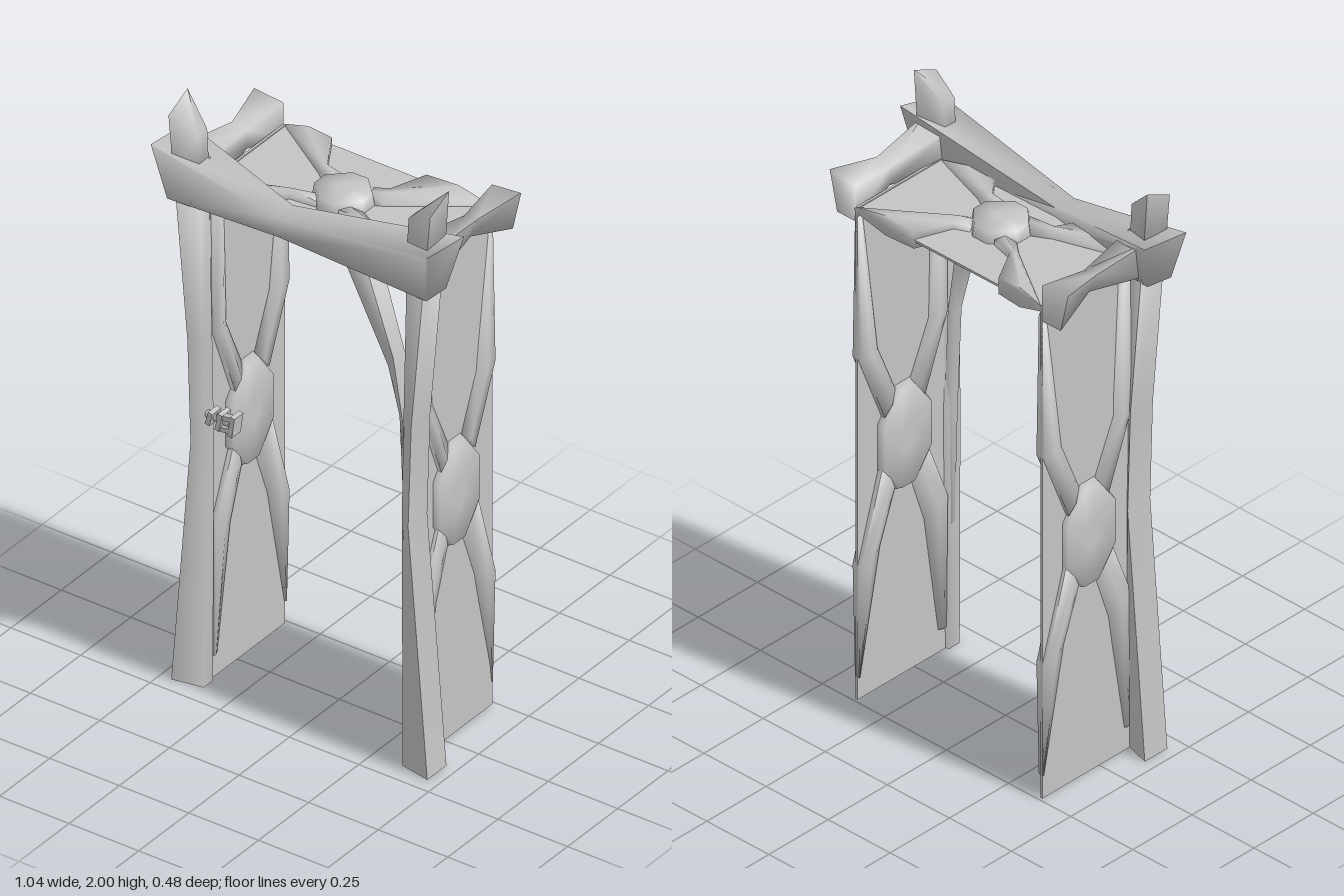
import * as THREE from 'three';
import { toCreasedNormals } from 'three/addons/utils/BufferGeometryUtils.js';

const stone = new THREE.MeshStandardMaterial({ color: 0xc4c4c4 });
stone.name = 'paleGrey';

// Skin a row of rings (each a list of [x, y, z]); the first end can stay open.
function loft(rings, closeStart = true) {
  const n = rings[0].length;
  const pts = rings.flat();
  const idx = [];
  for (let r = 0; r < rings.length - 1; r++) {
    for (let i = 0; i < n; i++) {
      const a = r * n + i, b = r * n + (i + 1) % n;
      idx.push(a, b, b + n, a, b + n, a + n);
    }
  }
  const last = (rings.length - 1) * n;
  for (let i = 1; i < n - 1; i++) {
    if (closeStart) idx.push(0, i + 1, i);
    idx.push(last, last + i, last + i + 1);
  }
  // Turn the faces outward if the rings run the other way round.
  const v = pts.map(p => new THREE.Vector3(...p));
  const centre = v.reduce((sum, p) => sum.add(p), new THREE.Vector3()).divideScalar(v.length);
  v.forEach(p => p.sub(centre));
  let volume = 0;
  for (let i = 0; i < idx.length; i += 3) {
    volume += v[idx[i]].dot(v[idx[i + 1]].clone().cross(v[idx[i + 2]]));
  }
  if (volume < 0) idx.reverse();
  const g = new THREE.BufferGeometry();
  g.setAttribute('position', new THREE.Float32BufferAttribute(pts.flat(), 3));
  g.setIndex(idx);
  return toCreasedNormals(g, 1.7);
}

function add(parent, name, geometry) {
  const mesh = new THREE.Mesh(geometry, stone);
  mesh.name = name;
  parent.add(mesh);
  return mesh;
}

// Strut with one thin edge and one thick edge; stations are [thinU, thinV, thickU, thickV].
function strut(stations, thickness, map) {
  return loft(stations.map(([au, av, bu, bv], i) => {
    const t = thickness[i], mu = (au + bu) / 2, mv = (av + bv) / 2;
    return [map(au, av, 0.3 * t), map(mu, mv, t), map(bu, bv, 0.8 * t),
      map(bu, bv, -0.8 * t), map(mu, mv, -t), map(au, av, -0.3 * t)];
  }));
}

// Eight-sided boss: a thick plate with softly shaded faces.
function boss(cu, cv, hu, hv, tipU, shoulderV, t, map) {
  const outline = [[tipU, hv], [hu, shoulderV], [hu, -shoulderV], [tipU, -hv],
    [-tipU, -hv], [-hu, -shoulderV], [-hu, shoulderV], [-tipU, hv]];
  const levels = [[-t, 0.25], [-t * 0.93, 0.93], [0, 1], [t * 0.93, 0.93], [t, 0.25]];
  return loft(levels.map(([w, s]) => outline.map(([u, v]) => map(cu + u * s, cv + v * s, w))));
}

// Struts of a side wall, as z, y pairs.
const wallStruts = [
  [[0.07, 1.7, 0.13, 1.7], [0.06, 1.2, 0.125, 1.2], [-0.02, 1.02, 0.03, 0.95]],
  [[-0.22, 1.7, -0.24, 1.7], [-0.16, 1.2, -0.24, 1.2], [-0.085, 1.02, -0.14, 0.95]],
  [[0.1, 0.08, 0.13, 0.08], [0.04, 0.5, 0.125, 0.55], [-0.02, 0.68, 0.04, 0.77]],
  [[-0.235, 0.08, -0.24, 0.08], [-0.15, 0.5, -0.24, 0.47], [-0.085, 0.68, -0.15, 0.78]],
];

// Struts of the ceiling, as x, z pairs.
const roofStruts = [
  [[-0.37, -0.24, -0.2, -0.24], [-0.14, -0.09, -0.13, -0.12], [-0.08, -0.04, -0.05, -0.1]],
  [[0.37, -0.24, 0.14, -0.24], [0.12, -0.06, 0.095, -0.12], [0.08, -0.04, 0.05, -0.1]],
  [[-0.36, 0.11, -0.16, 0.12], [-0.15, 0.04, -0.13, 0.07], [-0.08, 0, -0.04, 0.06]],
  [[0.36, 0.11, 0.16, 0.12], [0.15, 0.04, 0.12, 0.07], [0.08, 0, 0.04, 0.06]],
];

// One side: post with its spike, wall with struts and boss, and the top rail.
function buildSide(s) {
  const side = new THREE.Group();
  side.name = s > 0 ? 'leftSide' : 'rightSide';

  // Post: wide outer face, narrow inner face, waisted halfway up; [y, inner x, outer x].
  const post = [[0, 0.357, 0.46], [0.85, 0.354, 0.391], [1.2, 0.36, 0.402], [1.75, 0.372, 0.45]];
  const section = (x0, x1, y0, y1, z0, z1) => [
    [s * x1, y1, z0], [s * x1, y0 + (y1 - y0) * 0.5, z1],
    [s * x0, y0, z1 - 0.02], [s * x0, y0, z0 + 0.03],
  ];
  add(side, 'frontPost', loft(post.map(([y, a, b]) => section(a, b, y, y, 0.105, 0.2)), false));
  add(side, 'spike', loft([section(0.37, 0.452, 1.75, 1.75, 0.105, 0.2),
    section(0.378, 0.47, 1.91, 2, 0.105, 0.2)]));

  // Wall
  const wall = add(side, 'wallPanel', new THREE.BoxGeometry(0.008, 1.73, 0.375));
  wall.position.set(s * 0.372, 0.865, -0.0525);
  const map = (u, v, w) => [s * 0.37 + w, v, u];
  wallStruts.forEach(st => add(side, 'wallStrut', strut(st, [0.01, 0.022, 0.022], map)));
  add(side, 'wallBoss', boss(-0.05, 0.847, 0.107, 0.183, 0.03, 0.08, 0.028, map));

  // Rail running back; [z, inner x, outer x, bottom y, top y].
  const rail = [[0.14, 0.365, 0.465, 1.68, 1.825], [-0.08, 0.39, 0.443, 1.723, 1.797],
    [-0.24, 0.375, 0.48, 1.68, 1.815]];
  add(side, 'sideRail', loft(rail.map(([z, a, b, y0, y1]) => [
    [s * a, y0, z], [s * (b - 0.03), y0, z], [s * b, y1, z], [s * a, y1 - 0.01, z],
  ])));
  return side;
}

export function createModel() {
  const model = new THREE.Group();
  model.name = 'doorway';
  model.add(buildSide(1), buildSide(-1));

  // Lintel: flared ends, pinched near the middle.
  add(model, 'lintel', loft([
    [[-0.475, 1.665, 0.2], [-0.525, 1.84, 0.212], [-0.505, 1.845, 0.057], [-0.465, 1.67, 0.11]],
    [[-0.075, 1.683, 0.2], [-0.075, 1.752, 0.21], [-0.075, 1.757, 0.13], [-0.075, 1.69, 0.13]],
    [[0.46, 1.665, 0.205], [0.485, 1.84, 0.238], [0.518, 1.855, 0.097], [0.47, 1.67, 0.12]],
  ]));

  // Ceiling
  const ceiling = add(model, 'ceilingPanel', new THREE.BoxGeometry(0.76, 0.008, 0.385));
  ceiling.position.set(0, 1.722, -0.0475);
  const map = (u, v, w) => [u, 1.722 + w, v];
  roofStruts.forEach(st => add(model, 'ceilingStrut', strut(st, [0.035, 0.032, 0.03], map)));
  add(model, 'ceilingBoss', boss(0, -0.02, 0.093, 0.091, 0.03, 0.028, 0.047, map));

  // Curved brace from the lintel down into one post; [left x, left y, right x, right y, depth].
  const brace = [[0.125, 1.7, 0.225, 1.7, 0.035], [0.295, 1.36, 0.322, 1.4, 0.028],
    [0.335, 1.2, 0.352, 1.2, 0.025], [0.348, 0.85, 0.37, 0.85, 0.02], [0.358, 0.3, 0.37, 0.3, 0.01]];
  add(model, 'curvedBrace', loft(brace.map(([a, ay, b, by, d]) => [
    [a, ay, 0.15 - d * 0.6], [a, ay, 0.15 + d * 0.6], [b, by, 0.15 + d], [b, by, 0.15 - d],
  ])));

  // Small knotted latch on the other post
  const latch = new THREE.Group();
  latch.name = 'latch';
  latch.position.set(-0.295, 0.945, 0.165);
  const stem = add(latch, 'latchStem', new THREE.CylinderGeometry(0.012, 0.016, 0.1, 6));
  stem.rotation.z = Math.PI / 2;
  stem.position.x = -0.025;
  [[-0.04, 0.045], [-0.005, 0.06], [0.04, 0.07]].forEach(([x, h], i) => {
    const flange = add(latch, 'latchFlange', new THREE.BoxGeometry(0.016, h, 0.045));
    flange.position.x = x;
    flange.rotation.z = -0.25 + i * 0.05;
  });
  [-1, 1].forEach(k => {
    const bar = add(latch, 'latchBar', new THREE.BoxGeometry(0.06, 0.016, 0.02));
    bar.position.set(0.015, k * 0.02, 0.01);
    bar.rotation.z = 0.15;
  });
  model.add(latch);
  return model;
}
